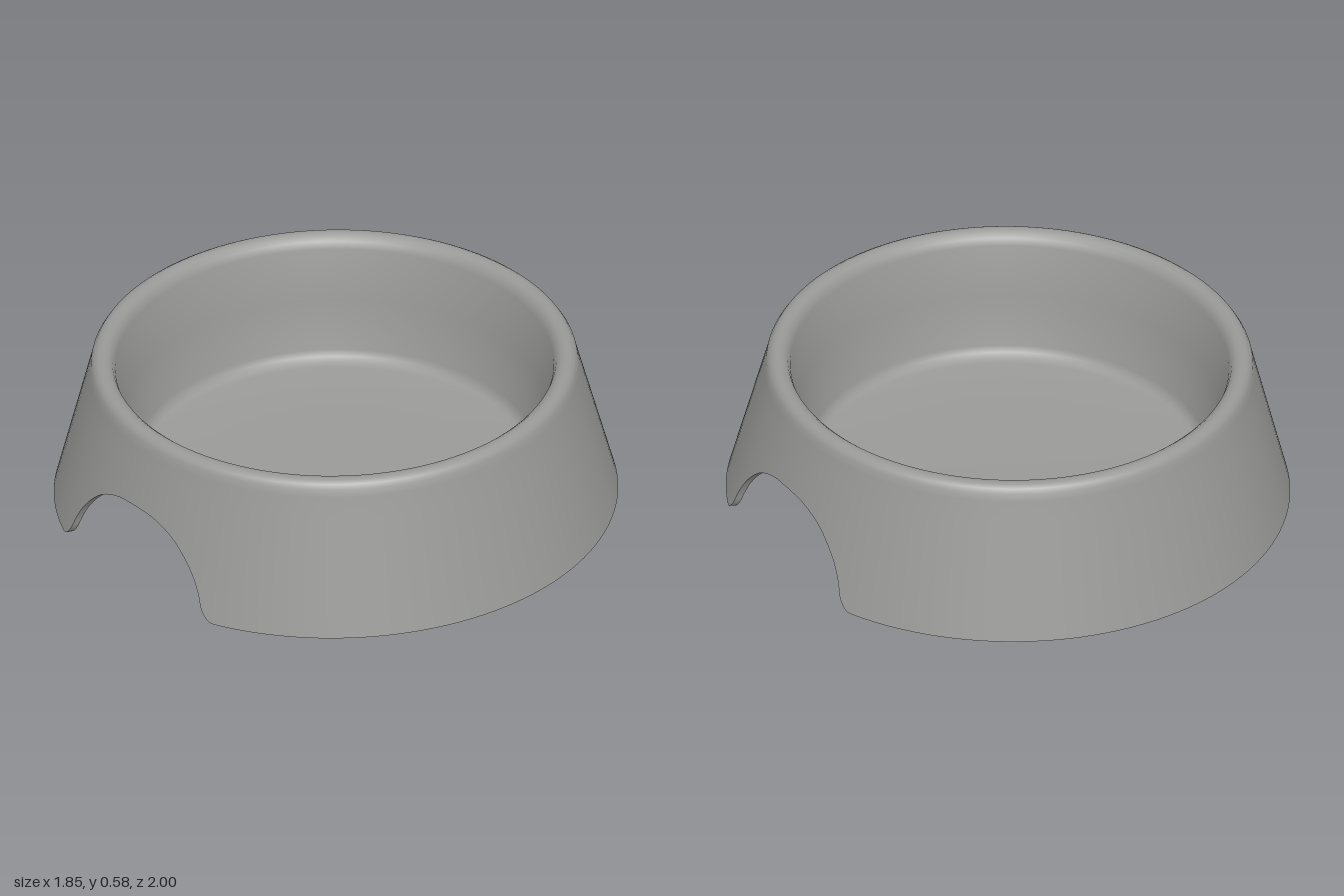
import * as THREE from 'three';
import { toCreasedNormals } from 'three/addons/utils/BufferGeometryUtils.js';

const BASE = 0.014, SHOULDER = 0.52, WALL = 0.025;
const v = (x, y) => new THREE.Vector2(x, y);

// Radius of the tapering outer wall at a height
const wallRadius = (y) => 1 - 0.26 * (y - BASE);

// Angle and lower-edge height of each column: plain rim, then half of a side arch
function columns() {
  const arch = new THREE.SplineCurve([
    v(0.43, BASE), v(0.395, 0.02), v(0.365, 0.055), v(0.345, 0.11), v(0.3125, 0.17),
    v(0.26, 0.23), v(0.2, 0.275), v(0.13, 0.303), v(0.07, 0.315), v(0, 0.318),
  ]).getPoints(36);
  const quarter = [];
  const start = Math.PI / 2 - Math.asin(0.43);
  for (let i = 0; i < 24; i++) quarter.push({ a: start * i / 24, low: BASE });
  for (const p of arch) quarter.push({ a: Math.PI / 2 - Math.asin(p.x), low: p.y });
  const half = [...quarter];
  for (let i = quarter.length - 2; i >= 0; i--) {
    half.push({ a: Math.PI - quarter[i].a, low: quarter[i].low });
  }
  return [...half, ...half.slice(1).map((c) => ({ a: c.a + Math.PI, low: c.low }))];
}

// Skirt, rolled rim and inside of the bowl as one continuous skin
function shellGeometry() {
  const skirt = [];
  for (let i = 0; i <= 6; i++) skirt.push({ t: 1 - i / 6, inset: WALL });
  for (let i = 0; i <= 6; i++) skirt.push({ t: i / 6, inset: 0 });
  const inside = [
    v(0.862, 0.548), v(0.852, 0.564), v(0.838, 0.573), v(0.822, 0.575), v(0.803, 0.57),
    v(0.787, 0.556), v(0.777, 0.53), v(0.745, 0.34), v(0.714, 0.15), v(0.705, 0.127),
    v(0.69, 0.114), v(0.665, 0.108), v(0.35, 0.106), v(0, 0.106),
  ];
  const cols = columns();
  const rows = skirt.length + inside.length;
  const geometry = new THREE.LatheGeometry([...skirt.map(() => v(1, 0)), ...inside], cols.length - 1);
  const pos = geometry.attributes.position;
  cols.forEach(({ a, low }, i) => {
    for (let j = 0; j < rows; j++) {
      let r, y;
      if (j < skirt.length) {
        y = low + (SHOULDER - low) * skirt[j].t;
        r = wallRadius(y) - skirt[j].inset;
      } else {
        ({ x: r, y } = inside[j - skirt.length]);
      }
      pos.setXYZ(i * rows + j, r * Math.sin(a), y, r * Math.cos(a));
    }
  });
  return toCreasedNormals(geometry, 0.7);
}

export function createModel() {
  const grey = new THREE.MeshStandardMaterial({ color: 0x999997 });
  grey.name = 'grey plastic';
  const model = new THREE.Group();
  model.name = 'petBowl';

  const shell = new THREE.Mesh(shellGeometry(), grey);
  shell.name = 'skirtRimAndInside';

  // Underside of the basin, closing up against the skirt below the rim
  const underside = new THREE.Mesh(new THREE.LatheGeometry([
    v(0, 0.066), v(0.4, 0.066), v(0.66, 0.066), v(0.69, 0.072), v(0.71, 0.088),
    v(0.72, 0.115), v(0.76, 0.32), v(0.797, 0.5), v(0.808, 0.518), v(0.85, 0.522),
  ], 96), grey);
  underside.name = 'basinUnderside';

  // The whole bowl leans very slightly
  const bowl = new THREE.Group();
  bowl.name = 'bowl';
  bowl.rotation.z = 0.0135;
  bowl.position.set(0.004, 0, 0);
  bowl.add(shell, underside);
  model.add(bowl);
  return model;
}
